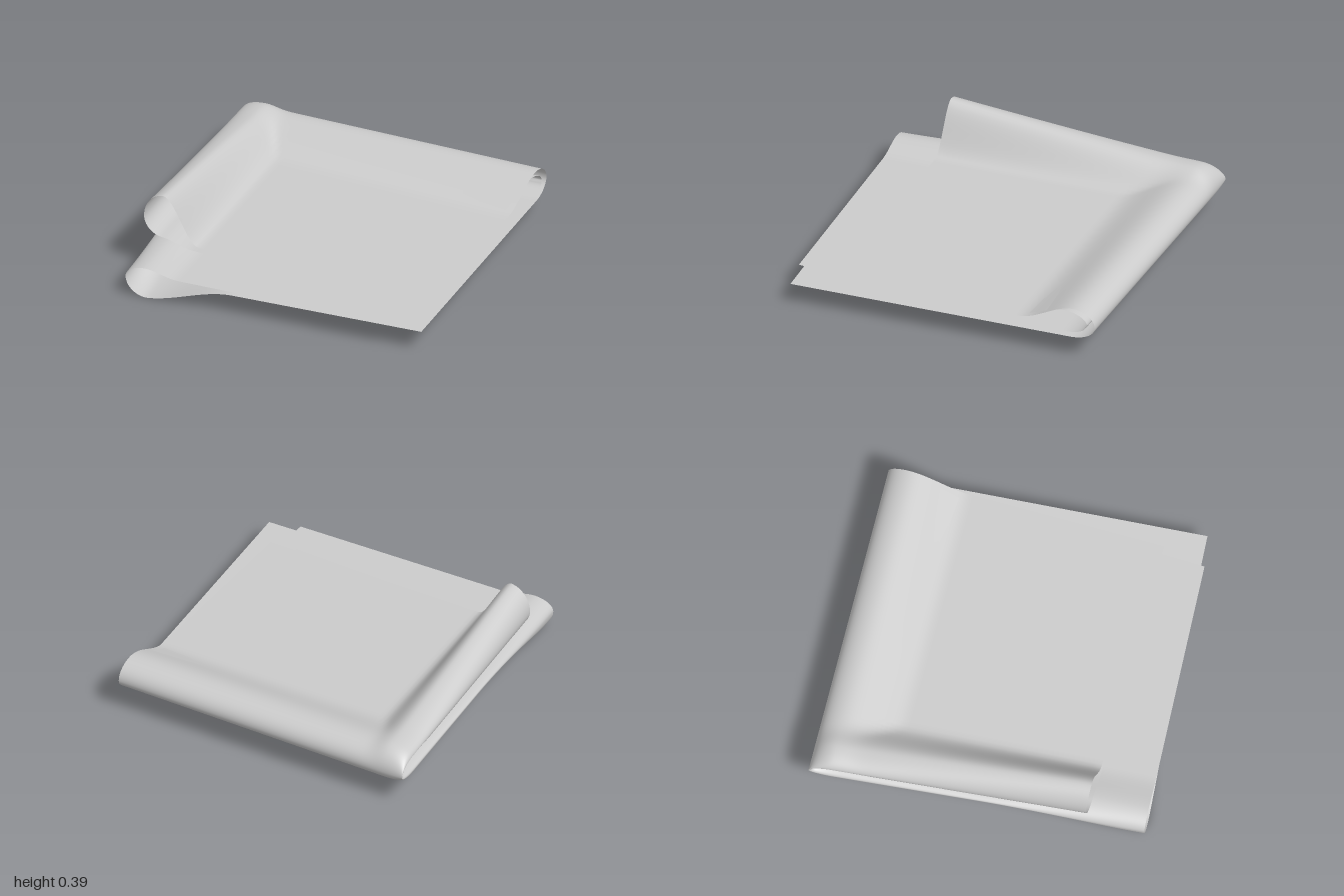
import * as THREE from 'three';

const { lerp, smoothstep } = THREE.MathUtils;

// Rounded rise from a fold line: 0 on the fold, 1 at distance r
const fold = (d, r) => Math.sqrt(1 - (1 - Math.min(d / r, 1)) ** 2);

// Plan corners [x, z]: the two at the back are shared by all four layers
const backLeft = [-1, -0.41], backRight = [0.37, -0.98];
const lowerFrontLeft = [-0.31, 0.97], upperFrontLeft = [-0.44, 0.74];
const frontRight = {
  lowerOuter: [1, 0.35], lowerInner: [0.87, 0.43],
  upperInner: [0.73, 0.3], upperOuter: [0.83, 0.23],
};

// Height of each layer; a runs from the left fold, b from the back fold
function layerHeight(upper, outer, a, b) {
  const sideRoll = 1 - smoothstep(a, 0.07, 0.2);
  const backRoll = 1 - smoothstep(b, 0.08, 0.3);
  if (upper) {
    const flat = outer ? 0.17 - 0.025 * a : 0.15 - 0.015 * a;
    const side = sideRoll * (outer ? 0.25 + 0.14 * b - flat : 0.03);
    const back = backRoll * ((outer ? 0.246 : 0.222) - flat);
    return flat + (side ** 4 + back ** 4) ** 0.25;
  }
  if (outer) {
    const dip = smoothstep(b, 0.66, 1) * (1 - smoothstep(a, 0.05, 0.36));
    return 0.095 + 0.01 * a - 0.096 * dip;
  }
  return 0.12 + sideRoll * (0.05 - 0.02 * b);
}

// Point of the cloth: s crosses the left fold at 0, t crosses the back fold at 0
function clothPoint(s, t) {
  const outer = s >= 0, upper = t >= 0;
  const a = s * s, b = Math.abs(t) ** 1.8; // denser rows near the folds
  const side = fold(a, 0.075), back = fold(b, 0.08);

  const leftEdge = upper ? 0.22 + 0.05 * b : 0.14 - 0.045 * smoothstep(b, 0.5, 1);
  const y = lerp(0.17, lerp(leftEdge, layerHeight(upper, outer, a, b), side), back);

  // Inner layers sit slightly inside the back fold
  const v = outer ? b : b + 0.03 * side * (1 - b);
  const left = upper ? upperFrontLeft : lowerFrontLeft;
  const right = frontRight[(upper ? 'upper' : 'lower') + (outer ? 'Outer' : 'Inner')];
  const plan = (i) => lerp(lerp(backLeft[i], left[i], v), lerp(backRight[i], right[i], v), a);
  return [plan(0), y, plan(1)];
}

export function createModel() {
  const n = 120, positions = [], index = [];
  for (let i = 0; i <= n; i++) {
    for (let j = 0; j <= n; j++) {
      positions.push(...clothPoint((2 * i) / n - 1, (2 * j) / n - 1));
      if (i < n && j < n) {
        const p = i * (n + 1) + j, q = p + n + 1;
        index.push(p, p + 1, q, q, p + 1, q + 1);
      }
    }
  }
  const geometry = new THREE.BufferGeometry();
  geometry.setAttribute('position', new THREE.Float32BufferAttribute(positions, 3));
  geometry.setIndex(index);
  geometry.computeVertexNormals();

  // One sheet folded twice into four layers
  const cloth = new THREE.Mesh(
    geometry,
    new THREE.MeshStandardMaterial({ color: 0xcccccc, side: THREE.DoubleSide }),
  );
  cloth.name = 'foldedCloth';

  const group = new THREE.Group();
  group.name = 'foldedNapkin';
  group.add(cloth);
  return group;
}
